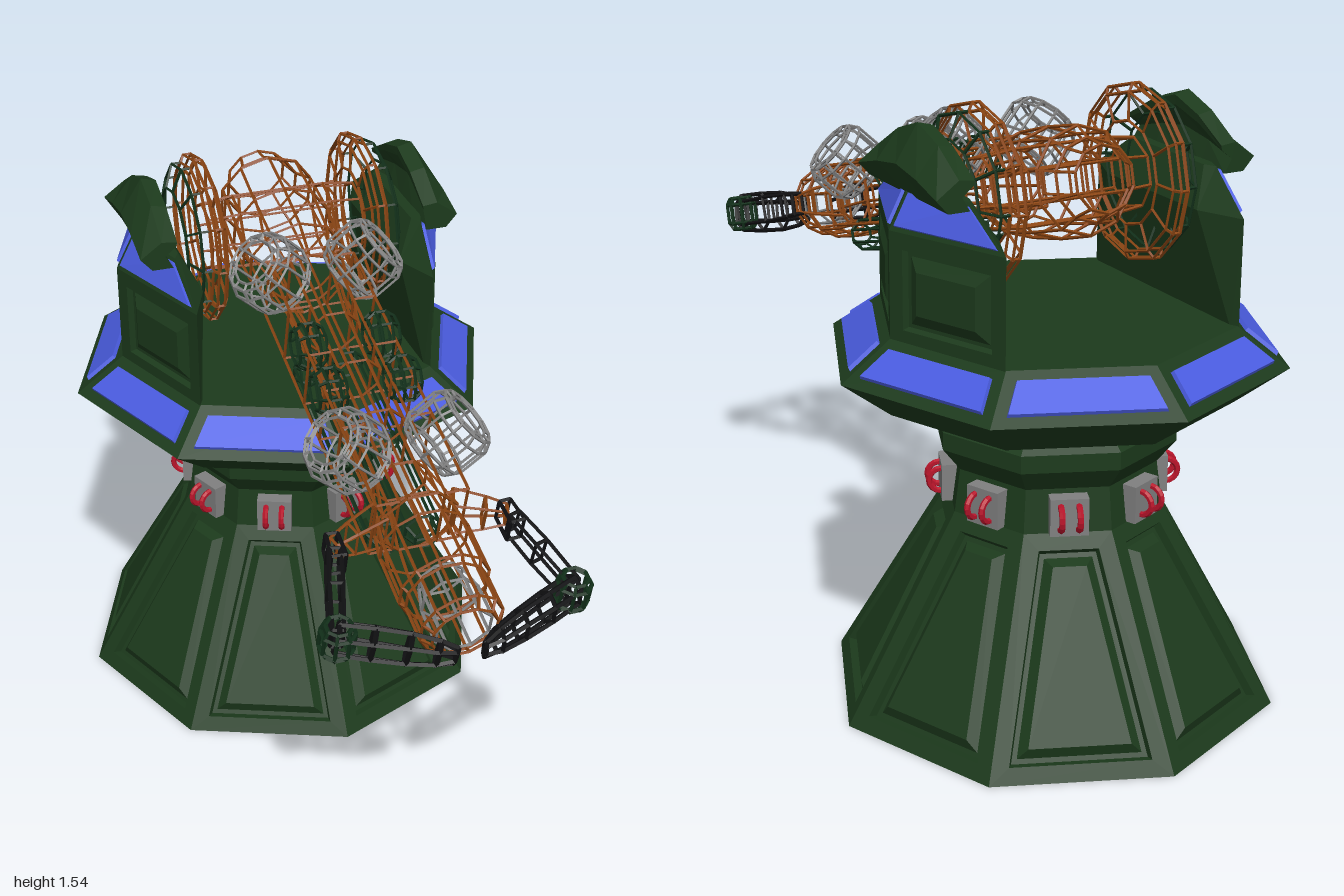
import * as THREE from 'three';
import { mergeGeometries } from 'three/addons/utils/BufferGeometryUtils.js';

const V = (x, y, z) => new THREE.Vector3(x, y, z);
const paint = (color) => new THREE.MeshStandardMaterial({ color, flatShading: true, side: THREE.DoubleSide });
const GREEN = paint(0x1c3a1c), BLUE = paint(0x4a5ce0), RED = paint(0xb8142a), GREY = paint(0x808080);
const ORANGE = paint(0x8b4513), DARK = paint(0x12301a), BLACK = paint(0x101012);
const CENTRE_Z = -0.42;

function add(parent, name, geometry, material) {
  const mesh = new THREE.Mesh(geometry, material);
  mesh.name = name;
  parent.add(mesh);
  return mesh;
}

// Point set in from a corner of a quad (bottom left, bottom right, top right, top left)
function insetQuad([a, b, c, d], m, h) {
  const n = b.clone().sub(a).cross(d.clone().sub(a)).normalize();
  const height = a.clone().add(b).distanceTo(c.clone().add(d)) / 2;
  const at = (t, side) => {
    const left = a.clone().lerp(d, t), right = b.clone().lerp(c, t);
    const u = m / Math.max(left.distanceTo(right), 0.001);
    return left.lerp(right, side ? 1 - u : u).addScaledVector(n, h);
  };
  const s = m / height;
  return [at(s, 0), at(s, 1), at(1 - s, 1), at(1 - s, 0)];
}

// Quad face with stepped borders; each step is [inset, height]
function panel(quad, steps = [[0, 0]]) {
  const pos = [];
  const face = (a, b, c, d) => [a, b, c, a, c, d].forEach((p) => pos.push(p.x, p.y, p.z));
  const loops = steps.map(([m, h]) => insetQuad(quad, m, h));
  for (let k = 0; k + 1 < loops.length; k++)
    for (let i = 0; i < 4; i++) {
      const j = (i + 1) % 4;
      face(loops[k][i], loops[k][j], loops[k + 1][j], loops[k + 1][i]);
    }
  face(...loops[loops.length - 1]);
  const g = new THREE.BufferGeometry();
  g.setAttribute('position', new THREE.Float32BufferAttribute(pos, 3));
  g.computeVertexNormals();
  return g;
}

// Panels around two loops of equal length
function band(low, high, steps, count = low.length, first = 0) {
  const parts = [];
  for (let k = first; k < first + count; k++) {
    const j = (k + 1) % low.length;
    parts.push(panel([low[k], low[j], high[j], high[k]], steps));
  }
  return mergeGeometries(parts);
}

const octagon = (r, y) => Array.from({ length: 8 }, (_, i) =>
  V(r * Math.sin(i * Math.PI / 4), y, r * Math.cos(i * Math.PI / 4)));

function cap(parent, name, r, y, up) {
  const mesh = add(parent, name, new THREE.CircleGeometry(r, 8), GREEN);
  mesh.rotation.x = up ? -Math.PI / 2 : Math.PI / 2;
  mesh.position.y = y;
}

// Open cage of thin struts from a to b; profile rows are [t, halfWidth, halfHeight]
function cage(parent, name, material, a, b, profile, n = 8, wire = 0.004) {
  const length = a.distanceTo(b), parts = [], phase = n === 4 ? Math.PI / 4 : Math.PI / n;
  const rings = profile.map(([t, rx, ry = rx]) => Array.from({ length: n }, (_, i) => {
    const q = phase + i * 2 * Math.PI / n;
    return V(rx * Math.cos(q), ry * Math.sin(q), t * length);
  }));
  const strut = (p, q) => {
    const d = q.clone().sub(p), len = d.length();
    if (len < 1e-4) return;
    const g = new THREE.CylinderGeometry(wire, wire, len, 4, 1);
    g.applyQuaternion(new THREE.Quaternion().setFromUnitVectors(V(0, 1, 0), d.divideScalar(len)));
    const m = p.clone().add(q).multiplyScalar(0.5);
    parts.push(g.translate(m.x, m.y, m.z));
  };
  rings.forEach((ring, k) => ring.forEach((p, i) => {
    strut(p, ring[(i + 1) % n]);
    if (rings[k + 1]) strut(p, rings[k + 1][i]);
  }));
  const mesh = new THREE.Mesh(mergeGeometries(parts), material);
  mesh.name = name;
  mesh.position.copy(a);
  mesh.lookAt(b);
  parent.add(mesh);
}

function buildPedestal(body) {
  const recess = [[0, 0], [0.042, 0], [0.048, -0.02], [0.06, -0.02], [0.082, 0.002]];
  add(body, 'pedestal', band(octagon(0.58, 0), octagon(0.28, 0.52), recess), GREEN);
  cap(body, 'pedestalBottom', 0.58, 0, false);
  // Neck, collar and saucer
  const rows = [[0.28, 0.52], [0.265, 0.63], [0.312, 0.69], [0.312, 0.735], [0.245, 0.785], [0.245, 0.81]];
  rows.slice(1).forEach((r, i) => add(body, 'neck', band(octagon(...rows[i]), octagon(...r)), GREEN));
  const rim = octagon(0.58, 0.907), top = octagon(0.45, 1.0);
  add(body, 'saucerUnderside', band(octagon(0.45, 0.807), rim), GREEN);
  add(body, 'saucerSlope', band(rim, top), GREEN);
  add(body, 'saucerWindows', band(rim, top, [[0.018, 0], [0.02, 0.01]].map(([m, h]) => [m + 0.012, h])), BLUE);
  cap(body, 'saucerBottom', 0.45, 0.807, false);
  cap(body, 'saucerTop', 0.45, 1.0, true);
  // Handle plates around the neck
  for (let i = 0; i < 8; i++) {
    const unit = new THREE.Group();
    unit.name = 'handlePlate';
    unit.rotation.y = (i + 0.5) * Math.PI / 4;
    add(unit, 'plate', new THREE.BoxGeometry(0.094, 0.096, 0.05), GREY).position.set(0, 0.57, 0.26);
    for (const s of [-1, 1]) {
      const grip = add(unit, 'handle', new THREE.TorusGeometry(0.03, 0.008, 6, 8, Math.PI), RED);
      grip.position.set(s * 0.022, 0.57, 0.285);
      grip.rotation.set(0, -Math.PI / 2, -Math.PI / 2, 'YXZ');
    }
    body.add(unit);
  }
}

function buildTower(body, turn) {
  const tower = new THREE.Group();
  tower.name = 'sideTower';
  tower.rotation.y = turn;
  const loop = (y, outer, edgeX, edgeZ, innerX, innerZ) => [V(edgeX, y, edgeZ), V(outer, y, 0),
    V(edgeX, y, -edgeZ), V(innerX, y, -innerZ), V(innerX, y, innerZ)];
  const l0 = loop(0.99, 0.45, 0.32, 0.32, 0.31, 0.3), l1 = loop(1.265, 0.45, 0.32, 0.32, 0.27, 0.2);
  const l2 = loop(1.36, 0.4, 0.335, 0.18, 0.32, 0.15);
  add(tower, 'towerPanels', band(l0, l1, [[0, 0], [0.04, 0], [0.046, -0.015], [0.055, -0.015], [0.085, 0.004]], 2), GREEN);
  add(tower, 'towerInside', band(l0, l1, undefined, 3, 2), GREEN);
  add(tower, 'towerShoulder', band(l1, l2), GREEN);
  add(tower, 'towerWindows', band(l1, l2, [[0.012, 0], [0.014, 0.008]], 2), BLUE);
  const lid = new THREE.ShapeGeometry(new THREE.Shape(l2.map((p) => new THREE.Vector2(p.x, -p.z))));
  add(tower, 'towerLid', lid.rotateX(-Math.PI / 2).translate(0, 1.36, 0), GREEN);
  // Hooked crest, lofted front to back
  const hook = [[0.345, 1.345], [0.4, 1.345], [0.43, 1.42], [0.373, 1.51], [0.333, 1.5], [0.335, 1.475], [0.365, 1.42]];
  const slices = [[0.2, 0.45], [0.1, 0.8], [0, 1], [-0.1, 0.8], [-0.2, 0.45]]
    .map(([z, k]) => hook.map(([x, y]) => V(x, 1.345 + (y - 1.345) * k, z)));
  slices.slice(1).forEach((s, i) => add(tower, 'crest', band(s, slices[i]), GREEN));
  for (const s of [slices[0], slices[4]]) {
    const end = new THREE.ShapeGeometry(new THREE.Shape(s.map((p) => new THREE.Vector2(p.x, p.y))));
    add(tower, 'crestEnd', end.translate(0, 0, s[0].z), GREEN);
  }
  body.add(tower);
}

function buildArm(body) {
  const arm = new THREE.Group();
  arm.name = 'arm';
  // Rear housing, spine and front barrel
  cage(arm, 'housing', ORANGE, V(0, 0, -0.22), V(0, 0, 0.24),
    [[0, 0.08], [0.12, 0.1], [0.2, 0.13], [0.5, 0.135], [0.8, 0.13], [1, 0.1]], 10);
  cage(arm, 'axle', ORANGE, V(-0.21, 0, 0), V(0.21, 0, 0), [[0, 0.09], [0.2, 0.1], [0.8, 0.1], [1, 0.09]], 8);
  cage(arm, 'spine', ORANGE, V(0, 0.03, 0.24), V(0, 0.02, 1.1),
    [[0, 0.1], [0.25, 0.07], [0.45, 0.07], [0.65, 0.07], [0.85, 0.07], [1, 0.1]], 8);
  cage(arm, 'barrel', ORANGE, V(0, 0, 1.08), V(0, 0, 1.42),
    [[0, 0.1], [0.2, 0.11], [0.6, 0.11], [0.65, 0.1], [0.93, 0.1], [1, 0.08]], 12);
  cage(arm, 'muzzle', GREY, V(0, 0, 1.26), V(0, 0, 1.41), [[0, 0.055], [0.4, 0.07], [1, 0.07]], 8);
  for (const s of [-1, 1]) {
    // Pivot discs
    cage(arm, 'pivotDisc', ORANGE, V(s * 0.2, 0, 0), V(s * 0.24, 0, 0),
      [[0, 0.13], [0, 0.2], [0.25, 0.22], [0.75, 0.22], [1, 0.2]], 12);
    cage(arm, 'pivotCover', DARK, V(s * 0.24, 0, 0), V(s * 0.29, 0, 0), [[0, 0.2], [0.5, 0.2], [1, 0.14]], 12);
    // Side rails with lower tubes and top knobs
    cage(arm, 'rail', ORANGE, V(s * 0.085, 0.02, 0.26), V(s * 0.085, 0.02, 1.1),
      [0, 0.2, 0.4, 0.55, 0.7, 1].map((t) => [t, 0.04, 0.12]), 4);
    cage(arm, 'lowerTube', DARK, V(s * 0.05, -0.1, 0.42), V(s * 0.05, -0.1, 1.06),
      [[0, 0.03], [0.05, 0.045], [0.5, 0.045], [0.95, 0.045], [1, 0.03]], 8);
    for (const w of [0.54, 0.7])
      cage(arm, 'knob', DARK, V(s * 0.06, 0.08, w), V(s * 0.13, 0.08, w), [[0, 0.045], [0.3, 0.06], [0.7, 0.06], [1, 0.045]], 8);
    // Tilted rollers
    for (const [w, v] of [[0.3, 0.115], [0.925, 0.11]]) {
      const mid = V(s * 0.125, v, w), axis = V(s * 0.045, 0.045, 0);
      cage(arm, 'roller', GREY, mid.clone().sub(axis), mid.clone().add(axis),
        [[0, 0.06], [0, 0.08], [0.2, 0.094], [0.8, 0.094], [1, 0.08], [1, 0.06]], 12);
    }
    // Jointed claws
    const shoulder = V(s * 0.215, 0.01, 1.12), elbow = V(s * 0.285, 0, 1.365), tip = V(s * 0.035, -0.02, 1.462);
    cage(arm, 'clawBracket', ORANGE, V(s * 0.09, 0.01, 1.08), shoulder, [[0, 0.04, 0.07], [0.6, 0.03, 0.05], [1, 0.02, 0.03]], 4);
    cage(arm, 'clawJoint', BLACK, V(s * 0.215, 0.01, 1.1), V(s * 0.22, 0.01, 1.17), [[0, 0.02, 0.04], [1, 0.025, 0.045]], 4, 0.005);
    cage(arm, 'clawLink', BLACK, shoulder, elbow, [[0.1, 0.02, 0.045], [0.5, 0.022, 0.05], [1, 0.018, 0.045]], 4, 0.005);
    cage(arm, 'clawElbow', DARK, elbow.clone().add(V(0, -0.045, 0.002)), elbow.clone().add(V(0, 0.045, 0)),
      [[0, 0.03], [0.2, 0.04], [0.8, 0.04], [1, 0.03]], 8, 0.005);
    cage(arm, 'clawFinger', BLACK, elbow, tip,
      [[0, 0.03, 0.05], [0.3, 0.03, 0.055], [0.6, 0.026, 0.055], [0.85, 0.02, 0.045], [1, 0.006, 0.03]], 6, 0.006);
  }
  arm.position.y = 1.32;
  arm.rotation.x = 0.27;
  body.add(arm);
}

export function createModel() {
  const model = new THREE.Group();
  model.name = 'armTurret';
  const body = new THREE.Group();
  body.name = 'turretBody';
  body.position.z = CENTRE_Z;
  buildPedestal(body);
  buildTower(body, 0);
  buildTower(body, Math.PI);
  buildArm(body);
  model.add(body);
  return model;
}
